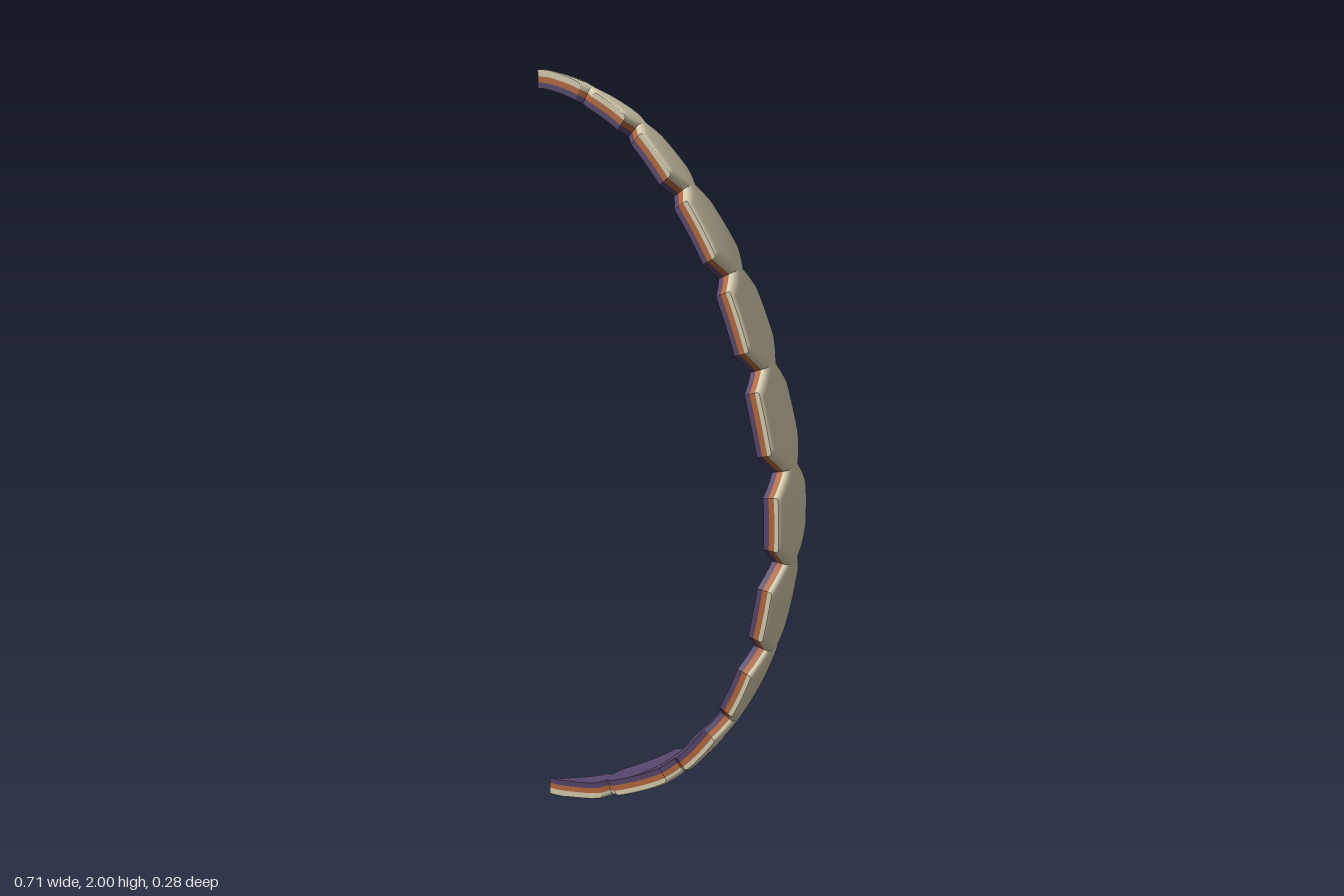
import * as THREE from 'three';
import { mergeGeometries } from 'three/addons/utils/BufferGeometryUtils.js';

const AXIS_X = -0.356;           // the axis the wedge is swept about
const HALF = Math.PI / 16;       // half the sector angle

// Egg profile (radius, height), from the top pole to the bottom pole
const profile = new THREE.SplineCurve([
  [0, 2], [0.05, 1.994], [0.15, 1.957], [0.292, 1.865], [0.43, 1.7], [0.549, 1.5],
  [0.638, 1.26], [0.7, 1.0], [0.712, 0.86], [0.704, 0.75], [0.656, 0.51],
  [0.56, 0.3], [0.41, 0.13], [0.2, 0.03], [0.06, 0.002], [0, 0],
].map(([r, y]) => new THREE.Vector2(r, y)));
profile.arcLengthDivisions = 800;
const LENGTH = profile.getLength();

// Arc length at which the profile passes a height
function arcAt(y) {
  let lo = 0, hi = 1;
  for (let i = 0; i < 30; i++) {
    const mid = (lo + hi) / 2;
    if (profile.getPointAt(mid).y > y) lo = mid; else hi = mid;
  }
  return lo * LENGTH;
}

// Smooth sheet over columns and rows; its normal is column x row direction
function sheet(point, cols, rows) {
  const pos = [], index = [], n = cols.length;
  rows.forEach((b) => cols.forEach((a) => pos.push(...point(a, b))));
  for (let j = 0; j < rows.length - 1; j++) {
    for (let i = 0; i < n - 1; i++) {
      const a = j * n + i;
      index.push(a, a + 1, a + n, a + 1, a + n + 1, a + n);
    }
  }
  const g = new THREE.BufferGeometry();
  g.setAttribute('position', new THREE.Float32BufferAttribute(pos, 3));
  g.setIndex(index);
  g.computeVertexNormals();
  return g;
}

const halfU = [0, 0.15, 0.3, 0.45, 0.6, 0.75, 0.86, 0.93, 0.97, 1];
const US = [...halfU.slice(1).reverse().map((u) => -u), ...halfU];
const halfV = [0, 0.006, 0.02, 0.04, 0.065, 0.09, 0.12, 0.18, 0.26, 0.38];
const VS = [...halfV, 0.5, ...halfV.map((v) => 1 - v).reverse()];
const reversed = (list) => [...list].reverse();

const round = (t) => 1 - Math.sqrt(1 - (1 - Math.min(1, Math.max(0, t))) ** 2);

// One layer of a hexagonal plate whose points overlap the neighbouring plates
function plateLayer(s0, s1, outer, inner, bevelled) {
  const reach = (s, u) => {
    if (s < 0.001 || s > LENGTH - 0.001) return 0;
    const w = profile.getPointAt(s / LENGTH).x * Math.sin(HALF);
    const corner = 0.012 + 0.31 * w;
    return 0.036 - (0.036 + corner) * Math.abs(u);
  };
  const place = (u, v, depth) => {
    const top = s0 - reach(s0, u), bottom = s1 + reach(s1, u);
    const s = THREE.MathUtils.clamp(top + (bottom - top) * v, 0, LENGTH);
    const p = profile.getPointAt(s / LENGTH);
    const t = profile.getTangentAt(s / LENGTH);
    const w = p.x * Math.sin(HALF);
    let d = depth;
    if (bevelled && depth === outer) {
      const toTop = s0 > 0 ? s - top : 1, toBottom = s1 < LENGTH ? bottom - s : 1;
      const ends = 0.012 * round(Math.min(toTop, toBottom) / 0.028);
      const sides = 0.006 * Math.min(1, w / 0.06) * round((1 - Math.abs(u)) * w / 0.012);
      d += Math.max(ends, sides);
    }
    const r = Math.max(0, p.x + t.y * d), y = p.y - t.x * d;
    return [AXIS_X + r * Math.cos(u * HALF), y, r * Math.sin(u * HALF)];
  };
  const depths = [outer, inner];
  return mergeGeometries([
    sheet((u, v) => place(u, v, outer), US, VS),
    sheet((u, v) => place(u, v, inner), reversed(US), VS),
    sheet((u, d) => place(u, 0, d), reversed(US), depths),
    sheet((u, d) => place(u, 1, d), US, depths),
    sheet((v, d) => place(1, v, d), reversed(VS), depths),
    sheet((v, d) => place(-1, v, d), VS, depths),
  ]);
}

export function createModel() {
  const model = new THREE.Group();
  model.name = 'curvedShellStrip';
  const material = (name, color) => {
    const m = new THREE.MeshStandardMaterial({ color });
    m.name = name;
    return m;
  };
  const layers = [
    ['outerShell', 0, 0.018, material('cream', 0xd2c8ab)],
    ['middleLayer', 0.018, 0.033, material('rust', 0xb0653c)],
    ['innerLining', 0.033, 0.048, material('purple', 0x54446a)],
  ];

  // Plates run between joints from pole to pole
  const joints = [1.955, 1.865, 1.71, 1.5, 1.26, 1.0, 0.75, 0.51, 0.3, 0.135, 0.03];
  const stops = [0, ...joints.map(arcAt), LENGTH];
  for (let i = 0; i < stops.length - 1; i++) {
    const plate = new THREE.Group();
    plate.name = `plate${i + 1}`;
    for (const [name, outer, inner, mat] of layers) {
      const mesh = new THREE.Mesh(
        plateLayer(stops[i], stops[i + 1], outer, inner, name === 'outerShell'), mat);
      mesh.name = name;
      plate.add(mesh);
    }
    model.add(plate);
  }
  return model;
}
